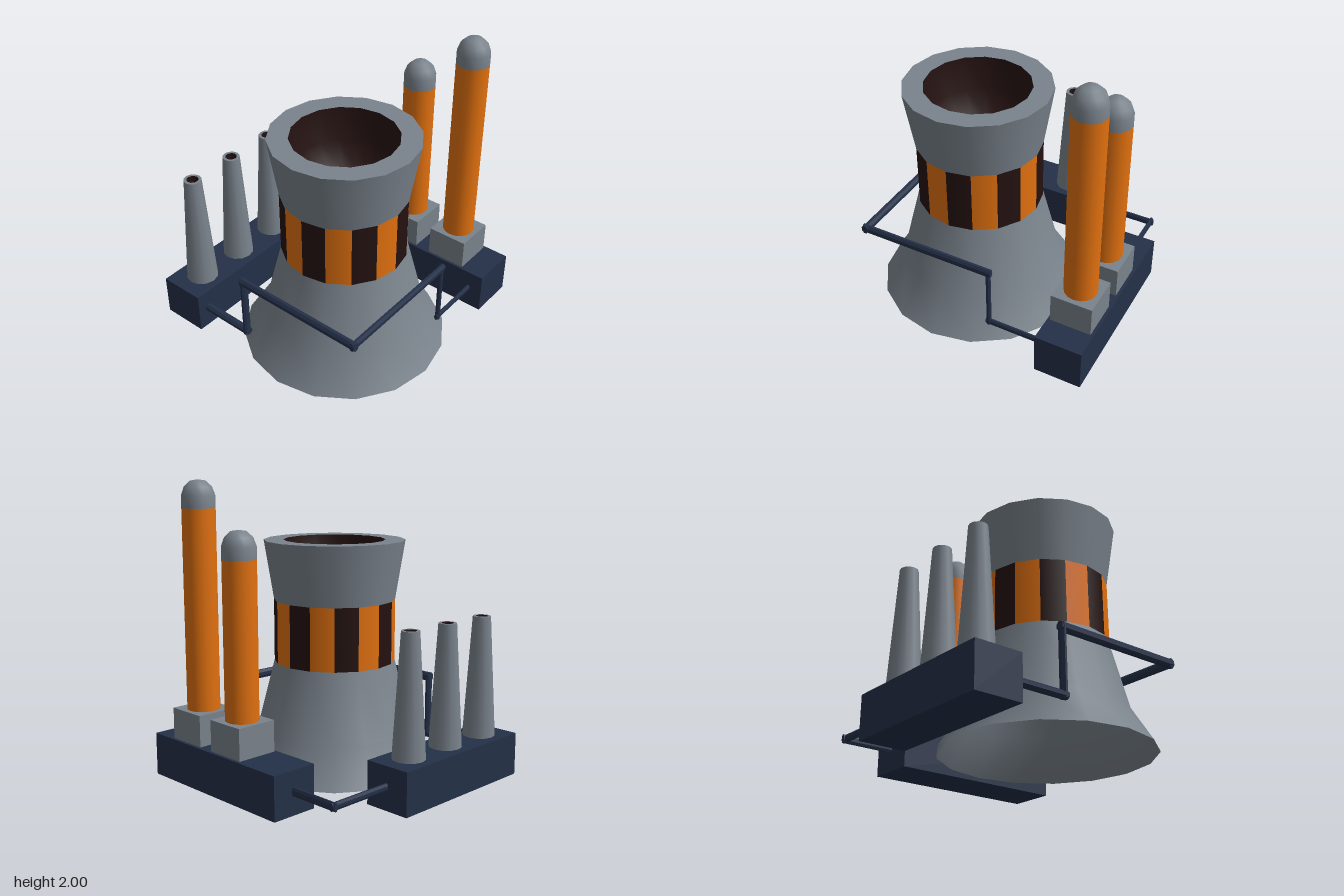
import * as THREE from 'three';

const mat = (color, extra = {}) => new THREE.MeshStandardMaterial({ color, ...extra });
const D = { side: THREE.DoubleSide };
const grey = mat(0x7a838c, D);
const orange = mat(0xe0700f, D);
const dark = mat(0x241211, D);
const navy = mat(0x243048);
const pipeMat = mat(0x243048, { flatShading: true });

export function createModel() {
  const root = new THREE.Group();

  const add = (parent, name, geometry, material, x = 0, y = 0, z = 0) => {
    const m = new THREE.Mesh(geometry, material);
    m.name = name;
    m.position.set(x, y, z);
    parent.add(m);
    return m;
  };
  const group = (name, x = 0, y = 0, z = 0) => {
    const g = new THREE.Group();
    g.name = name;
    g.position.set(x, y, z);
    root.add(g);
    return g;
  };
  const lathe = (pts, sides) =>
    new THREE.LatheGeometry(pts.map(([r, y]) => new THREE.Vector2(r, y)), sides);
  // Box given by its lowest and highest corners
  const block = (parent, name, material, a, b) =>
    add(parent, name, new THREE.BoxGeometry(b[0] - a[0], b[1] - a[1], b[2] - a[2]), material,
      (a[0] + b[0]) / 2, (a[1] + b[1]) / 2, (a[2] + b[2]) / 2);

  // Cooling tower: flared skirt, striped band, flared crown with a dark well
  const tower = group('coolingTower', -0.19, 0, 0.19);
  add(tower, 'towerSkirt', lathe([[0.7, 0.01], [0.54, 0.27], [0.42, 0.74]], 16), grey);
  add(tower, 'towerCrown', lathe([[0.42, 1.17], [0.487, 1.58]], 16), grey);
  add(tower, 'towerRim', lathe([[0.487, 1.58], [0.35, 1.58]], 16), grey);
  add(tower, 'towerWell', lathe([[0.35, 1.58], [0.33, 1.35], [0.24, 1.2], [0, 1.16]], 16), dark);
  const step = Math.PI / 8;
  for (let i = 0; i < 16; i++) {
    add(tower, 'bandStripe',
      new THREE.CylinderGeometry(0.42, 0.42, 0.43, 1, 1, true, i * step, step),
      i % 2 ? orange : dark, 0, 0.955, 0);
  }

  // Side building with two domed stacks
  const side = group('sideBuilding');
  block(side, 'sideBase', navy, [0.555, 0, -0.38], [0.88, 0.29, 0.835]);
  for (const [z, top] of [[0.51, 2], [0.11, 1.705]]) {
    block(side, 'stackPlinth', grey, [0.573, 0.29, z - 0.143], [0.858, 0.5, z + 0.143]);
    const h = top - 0.18 - 0.5;
    add(side, 'stackColumn', new THREE.CylinderGeometry(0.11, 0.11, h, 16, 1, true), orange,
      0.715, 0.5 + h / 2, z);
    add(side, 'stackDome', lathe([[0.11, -0.18], [0.11, -0.1], [0.09, -0.045],
      [0.05, -0.008], [0, 0]], 16), grey, 0.715, top, z);
  }

  // Rear building with three tapered chimneys
  const rear = group('rearBuilding');
  block(rear, 'rearBase', navy, [-0.855, 0, -0.89], [0.27, 0.29, -0.565]);
  for (const x of [-0.655, -0.295, 0.065]) {
    add(rear, 'chimneyWall', lathe([[0.11, 0.29], [0.06, 1.105]], 12), grey, x, 0, -0.725);
    add(rear, 'chimneyRim', lathe([[0.06, 1.105], [0.04, 1.105]], 12), grey, x, 0, -0.725);
    add(rear, 'chimneyFlue', lathe([[0.04, 1.105], [0.035, 0.95], [0, 0.93]], 12), dark,
      x, 0, -0.725);
  }

  // Pipes: straight eight-sided runs, overlapping at the elbows
  const up = new THREE.Vector3(0, 1, 0);
  const pipe = (name, pts, sizes) => {
    const g = group(name);
    pts.slice(1).forEach((p, i) => {
      const a = new THREE.Vector3(...pts[i]);
      const b = new THREE.Vector3(...p);
      const dir = b.clone().sub(a);
      const len = dir.length() + 0.04;
      const mid = a.add(b).multiplyScalar(0.5);
      const geo = new THREE.CylinderGeometry(0.541, 0.541, 1, 8);
      geo.rotateY(Math.PI / 8);
      geo.applyQuaternion(new THREE.Quaternion().setFromUnitVectors(up, dir.normalize()));
      // Scale the unit run to its length and its own cross-section
      const s = sizes[i].map((v) => v || len);
      geo.scale(...s);
      add(g, 'pipeRun', geo, pipeMat, mid.x, mid.y, mid.z);
    });
  };
  // Each size is [x, y, z]; 0 marks the run's own direction
  pipe('frontPipe', [
    [-0.768, 0.155, -0.58], [-0.768, 0.155, -0.19], [-0.768, 0.578, -0.19],
    [-0.768, 0.578, 0.73], [0.168, 0.578, 0.73], [0.168, 0.155, 0.73], [0.57, 0.155, 0.73],
  ], [[0.055, 0.05, 0], [0.055, 0, 0.035], [0.05, 0.06, 0], [0, 0.06, 0.038],
    [0.03, 0, 0.032], [0, 0.046, 0.026]]);
  pipe('rearPipe', [
    [0.25, 0.155, -0.725], [0.725, 0.155, -0.725], [0.725, 0.155, -0.36],
  ], [[0, 0.05, 0.028], [0.028, 0.055, 0]]);

  return root;
}
